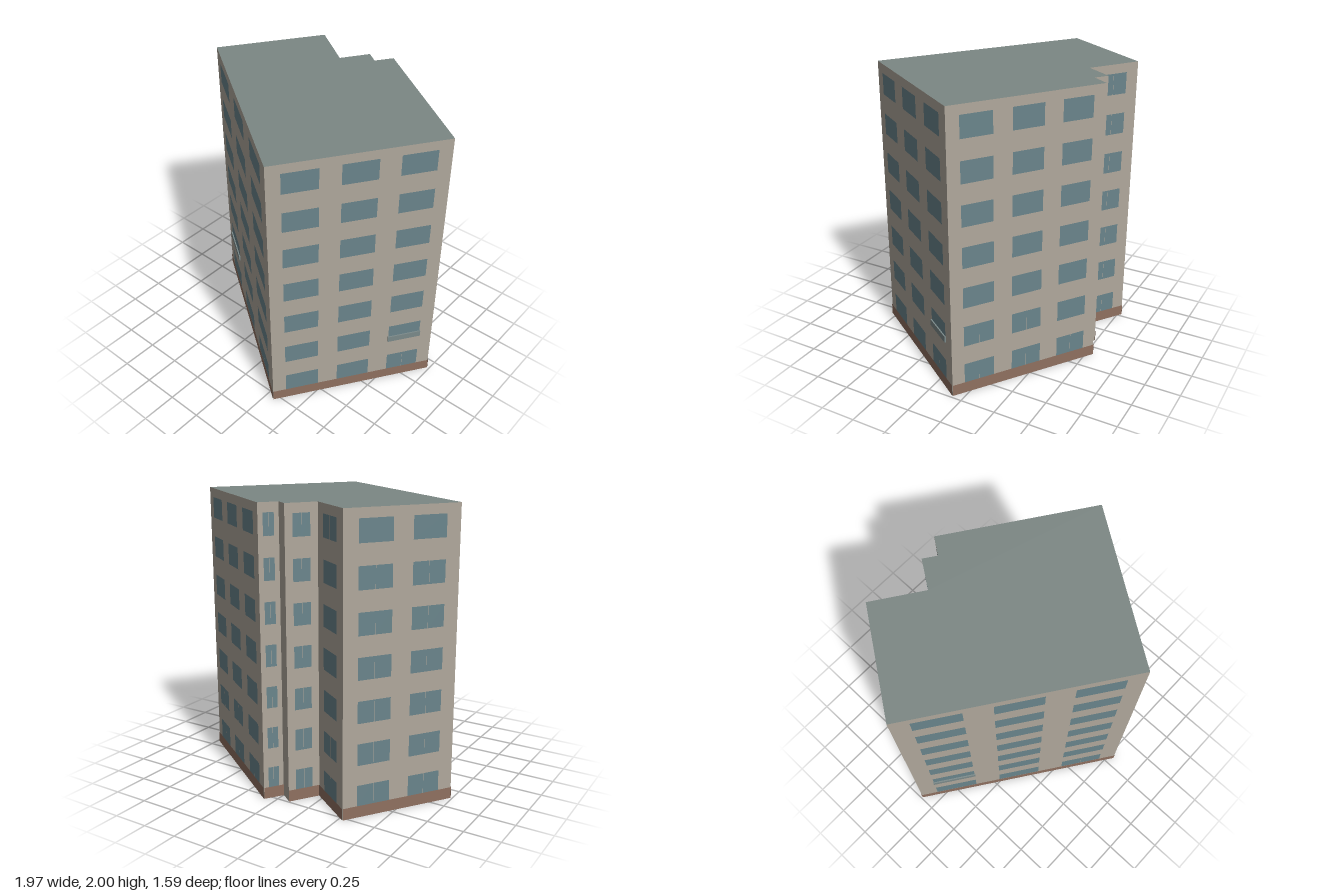
import * as THREE from 'three';

const HEIGHT = 2, FLOORS = 7, STOREY = HEIGHT / FLOORS;
const PLINTH = 0.08, WINDOW_Y = 0.074, WINDOW_H = 0.148;

const paint = (color) => new THREE.MeshStandardMaterial({ color, side: THREE.DoubleSide, flatShading: true });

// Window layout by number of columns: width and column centres as fractions of the wall
const LAYOUT = {
  0: { width: 0, centres: [] },
  1: { width: 0.54, centres: [0.5] },
  2: { width: 0.29, centres: [0.27, 0.73] },
  3: { width: 0.2, centres: [0.18, 0.5, 0.82] },
};

// Footprint corners [x, z] in order; each wall runs to the next corner
const WALLS = [
  { name: 'frontWall', at: [-0.985, -0.115], cols: 3, split: (r, c) => r === 0 && c === 2, rail: 0 },
  { name: 'leftWall', at: [0.315, 0.79], cols: 3, split: (r, c) => r === 0 && c === 2, rail: 2 },
  { name: 'backWall', at: [0.98, -0.175], cols: 3, split: (r, c) => r === 0 || (r === 1 && c < 2) },
  { name: 'outerStepSide', at: [0.08, -0.795], cols: 1, split: () => true },
  { name: 'outerStepBack', at: [0, -0.68], cols: 0, bare: true },
  { name: 'innerStepSide', at: [-0.085, -0.74], cols: 1, split: () => true },
  { name: 'wingBackWall', at: [-0.21, -0.555], cols: 1, split: () => true },
  { name: 'rightWall', at: [-0.53, -0.775], cols: 2, split: (r) => r < FLOORS - 1 },
];

export function createModel() {
  const model = new THREE.Group();
  model.name = 'apartmentBlock';
  const mats = {
    wall: paint(0xb0a89c), plinth: paint(0x8f7060), glass: paint(0x6a858c),
    roof: paint(0x7c8784), rail: paint(0x7b8a8a),
  };

  // Flat panel in a wall's own frame: x along the wall, z outward
  function panel(parent, name, mat, x, y, z, w, h) {
    const mesh = new THREE.Mesh(new THREE.PlaneGeometry(w, h), mat);
    mesh.name = name;
    mesh.position.set(x, y + h / 2, z);
    parent.add(mesh);
  }

  WALLS.forEach((wall, i) => {
    const [x0, z0] = wall.at;
    const [x1, z1] = WALLS[(i + 1) % WALLS.length].at;
    const length = Math.hypot(x1 - x0, z1 - z0);
    const side = new THREE.Group();
    side.name = wall.name;
    side.position.set(x0, 0, z0);
    side.rotation.y = Math.atan2(z0 - z1, x1 - x0);
    model.add(side);

    panel(side, 'wallFace', mats.wall, length / 2, 0, 0, length, HEIGHT);
    if (!wall.bare) panel(side, 'plinth', mats.plinth, length / 2, 0, 0.004, length, PLINTH);

    // Rows of windows, some with two panes
    const { width, centres } = LAYOUT[wall.cols];
    const w = width * length;
    for (let row = 0; row < FLOORS; row++) {
      const y = WINDOW_Y + row * STOREY;
      centres.forEach((t, col) => {
        const x = t * length;
        if (wall.split(row, col)) {
          const pane = w / 2 - 0.002;
          for (const s of [-1, 1]) panel(side, 'windowPane', mats.glass, x + s * w / 4, y, 0.002, pane, WINDOW_H);
        } else {
          panel(side, 'window', mats.glass, x, y, 0.002, w, WINDOW_H);
        }
        // Low window guard on the second storey
        if (row === 1 && col === wall.rail) {
          const rail = new THREE.Mesh(new THREE.BoxGeometry(w * 1.03, 0.045, 0.01), mats.rail);
          rail.name = 'windowGuard';
          rail.position.set(x, y + 0.028, 0.006);
          side.add(rail);
        }
      });
    }
  });

  // Flat roof; shape y is -z so that it faces up once laid down
  const outline = new THREE.Shape(WALLS.map(({ at }) => new THREE.Vector2(at[0], -at[1])));
  const roof = new THREE.Mesh(new THREE.ShapeGeometry(outline), mats.roof);
  roof.name = 'roof';
  roof.rotation.x = -Math.PI / 2;
  roof.position.y = HEIGHT;
  model.add(roof);
  return model;
}
